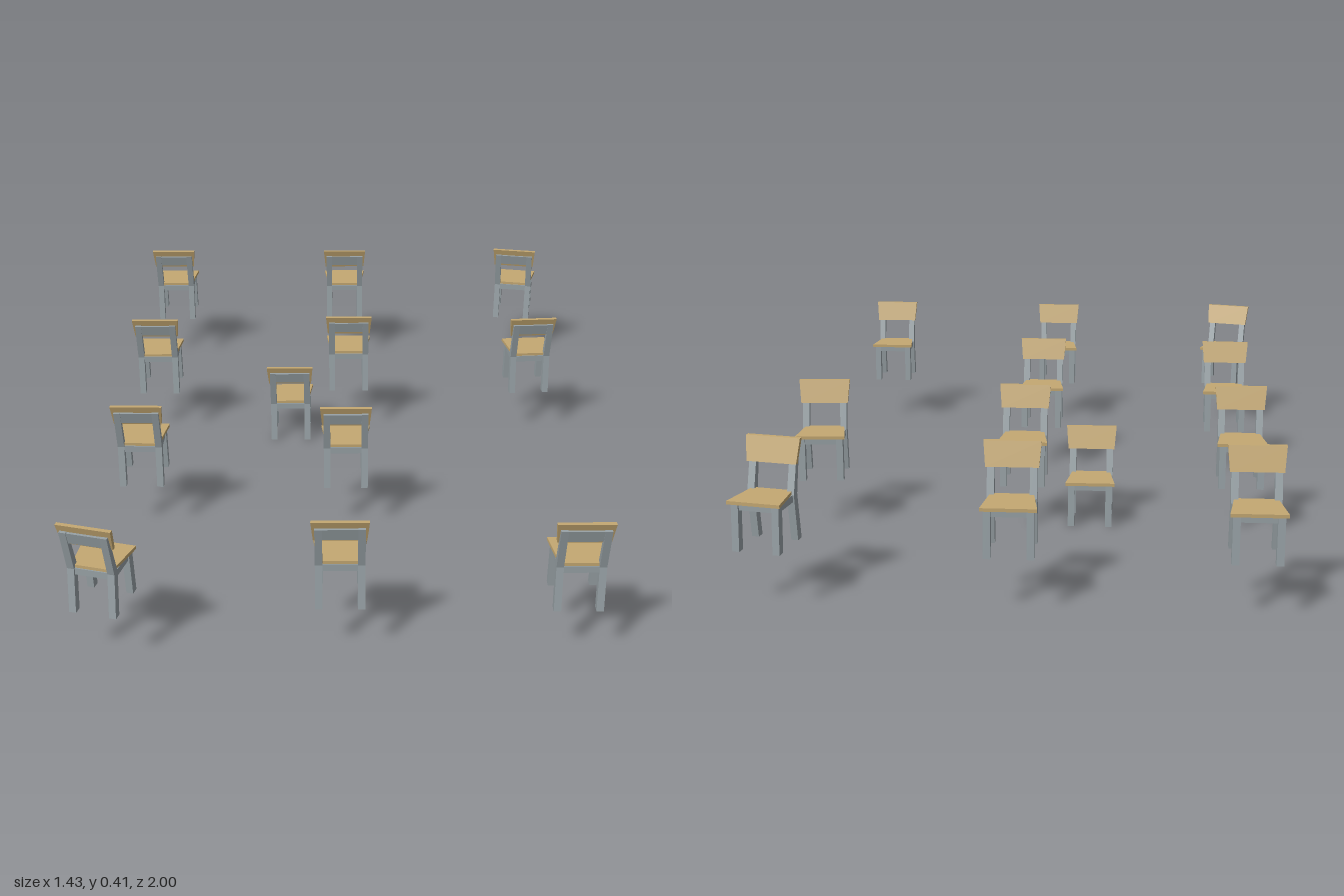
import * as THREE from 'three';

const WOOD = new THREE.MeshStandardMaterial({ color: 0xc4a872 });
const FRAME = new THREE.MeshStandardMaterial({ color: 0x98a2a6 });

// Side profile given as [z, y] points, extruded along x and centred on x = 0
function sideExtrude(points, width) {
  const shape = new THREE.Shape(points.map(([z, y]) => new THREE.Vector2(z, y)));
  const g = new THREE.ExtrudeGeometry(shape, { depth: width, bevelEnabled: false });
  return g.translate(0, 0, -width / 2).rotateY(-Math.PI / 2);
}

// Leaning backrest panel, wider at the top
function panelGeometry() {
  const y0 = 0.203, y1 = 0.267;
  const g = sideExtrude([[0.042, y0], [0.0535, y0], [0.073, y1], [0.061, y1]], 1);
  const p = g.attributes.position;
  for (let i = 0; i < p.count; i++) {
    const t = (p.getY(i) - y0) / (y1 - y0);
    p.setX(i, p.getX(i) * (0.136 + 0.011 * t));
  }
  g.computeVertexNormals();
  return g;
}

// Flat seat, tapering towards the backrest
function seatGeometry() {
  const shape = new THREE.Shape([
    new THREE.Vector2(-0.055, -0.043), new THREE.Vector2(0.055, -0.043),
    new THREE.Vector2(0.0715, 0.076), new THREE.Vector2(-0.0715, 0.076),
  ]);
  const g = new THREE.ExtrudeGeometry(shape, { depth: 0.009, bevelEnabled: false });
  return g.rotateX(-Math.PI / 2).translate(0, 0.125, 0);
}

const LEG_X = 0.0545, LEG_W = 0.019;
const GEO = {
  seat: seatGeometry(),
  panel: panelGeometry(),
  post: sideExtrude([[0.042, 0], [0.064, 0], [0.05, 0.125], [0.076, 0.248], [0.063, 0.248], [0.029, 0.125]], LEG_W),
  frontLeg: sideExtrude([[-0.073, 0], [-0.051, 0], [-0.044, 0.125], [-0.066, 0.125]], LEG_W),
  backRail: sideExtrude([[0.0535, 0.213], [0.066, 0.213], [0.0745, 0.247], [0.063, 0.247]], 0.1),
  crossApron: new THREE.BoxGeometry(0.095, 0.019, 0.012),
  sideApron: new THREE.BoxGeometry(0.012, 0.019, 0.085),
};

function createChair() {
  const chair = new THREE.Group();
  const add = (name, geometry, material, x = 0, y = 0, z = 0) => {
    const m = new THREE.Mesh(geometry, material);
    m.name = name;
    m.position.set(x, y, z);
    chair.add(m);
  };
  add('seat', GEO.seat, WOOD);
  add('backPanel', GEO.panel, WOOD);
  add('backRail', GEO.backRail, FRAME);
  add('frontApron', GEO.crossApron, FRAME, 0, 0.116, -0.055);
  add('rearApron', GEO.crossApron, FRAME, 0, 0.116, 0.04);
  for (const [side, s] of [['left', 1], ['right', -1]]) {
    add(side + 'BackPost', GEO.post, FRAME, s * LEG_X);
    add(side + 'FrontLeg', GEO.frontLeg, FRAME, s * LEG_X);
    add(side + 'SideApron', GEO.sideApron, FRAME, s * LEG_X, 0.116, -0.008);
  }
  return chair;
}

export function createModel() {
  const model = new THREE.Group();
  model.name = 'chairs';
  const RAISED = 0.143;
  // x, z, turn about y, floor height
  const places = [
    [-0.606, -0.913, 0, RAISED], [0.005, -0.913, 0, RAISED], [0.625, -0.915, -0.18, RAISED],
    [-0.606, -0.32, 0, RAISED], [-0.175, -0.264, 0, 0], [0.016, -0.341, 0, RAISED], [0.605, -0.323, 0.07, RAISED],
    [-0.593, 0.271, -0.02, RAISED], [0.003, 0.281, 0, RAISED],
    [-0.627, 0.904, -0.26, RAISED], [-0.015, 0.878, 0, RAISED], [0.593, 0.889, 0, RAISED],
  ];
  places.forEach(([x, z, turn, y], i) => {
    const chair = createChair();
    chair.name = 'chair' + (i + 1);
    chair.position.set(x, y, z);
    chair.rotation.y = turn;
    model.add(chair);
  });
  return model;
}
